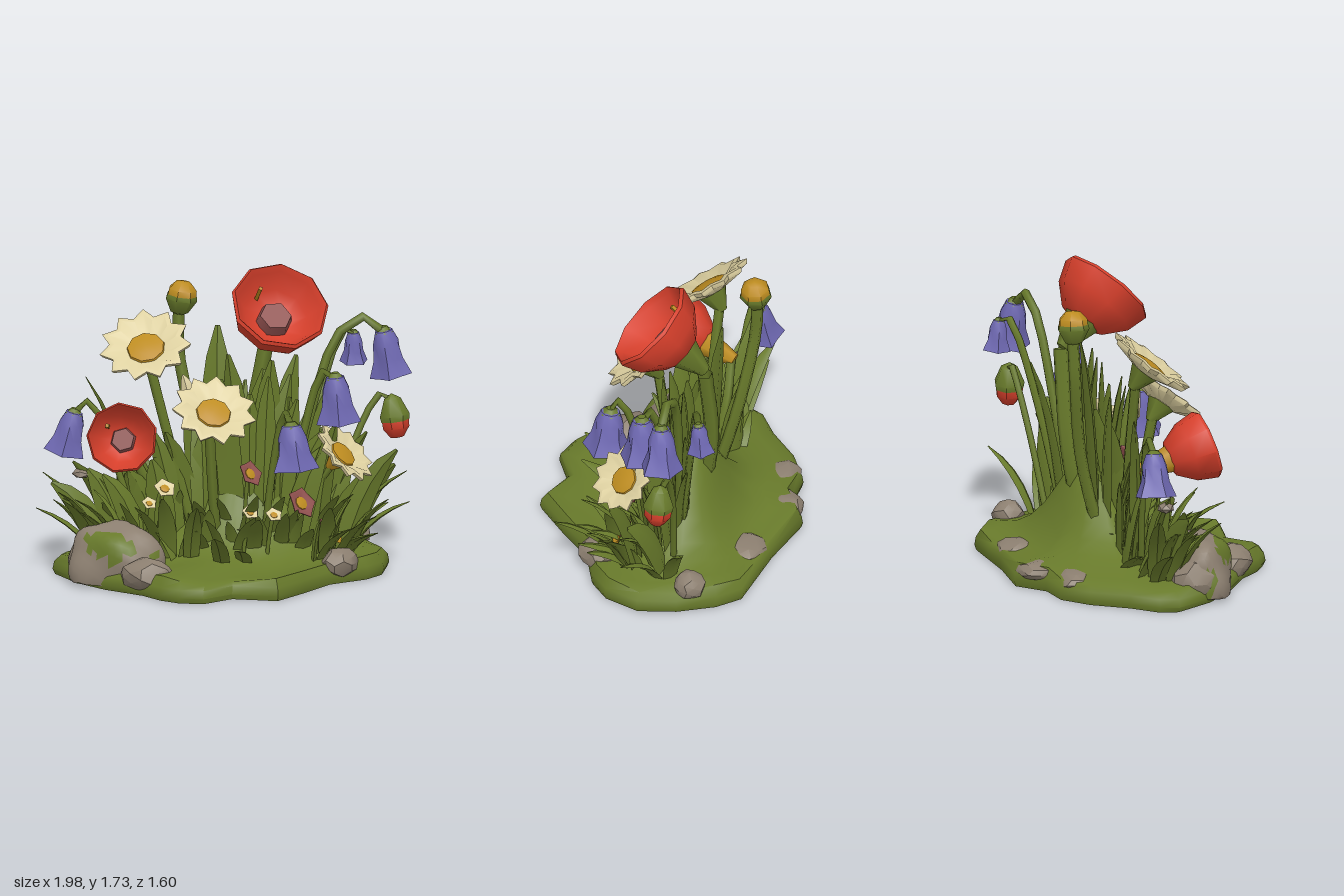
import * as THREE from 'three';
import { toCreasedNormals } from 'three/addons/utils/BufferGeometryUtils.js';

const V = (x, y, z) => new THREE.Vector3(x, y, z);
const UP = V(0, 1, 0);

function mat(name, color) {
  const m = new THREE.MeshStandardMaterial({ color, side: THREE.DoubleSide });
  m.name = name;
  return m;
}

export function createModel() {
  const root = new THREE.Group();
  root.name = 'wildflowerPatch';
  const green = mat('leafGreen', 0x687a2b), red = mat('poppyRed', 0xd63f2b), cream = mat('petalCream', 0xddd0a0);
  const yellow = mat('pollenYellow', 0xbd8c20), blue = mat('bellBlue', 0x6f69b3);
  const grey = mat('stoneGrey', 0x8c7f70), mauve = mat('mauve', 0x8f504e);

  let seed = 7;
  const rnd = () => {
    seed = (seed * 16807) % 2147483647;
    return seed / 2147483647;
  };
  const spread = (a) => (rnd() * 2 - 1) * a;

  function add(parent, name, geo, material) {
    const m = new THREE.Mesh(geo, material);
    m.name = name;
    parent.add(m);
    return m;
  }

  // Skin over closed rings of points, counterclockwise about the path
  function loft(rings, crease) {
    const n = rings[0].length, pos = [], idx = [];
    rings.forEach((r) => r.forEach((p) => pos.push(p.x, p.y, p.z)));
    for (let k = 0; k < rings.length - 1; k++)
      for (let i = 0; i < n; i++) {
        const a = k * n + i, b = k * n + ((i + 1) % n);
        idx.push(a, b, b + n, a, b + n, a + n);
      }
    const g = new THREE.BufferGeometry();
    g.setAttribute('position', new THREE.Float32BufferAttribute(pos, 3));
    g.setIndex(idx);
    return toCreasedNormals(g, crease);
  }

  // Ground with a raised ridge running diagonally under the plants
  const outline = [[0.52, 0.59], [0.61, 0.35], [0.69, 0.1], [0.85, -0.08], [0.9, -0.22], [0.87, -0.43], [0.73, -0.6],
    [0.55, -0.74], [0.4, -0.8], [0.2, -0.74], [0, -0.68], [-0.32, -0.62], [-0.43, -0.45], [-0.6, -0.38], [-0.71, -0.22],
    [-0.79, 0], [-0.88, 0.16], [-0.88, 0.27], [-0.7, 0.46], [-0.5, 0.58], [-0.25, 0.67], [-0.12, 0.76], [0, 0.8],
    [0.14, 0.78], [0.26, 0.61]];
  const groundY = (x, z) => {
    const u = 0.93 * x - 0.37 * z - 0.15, v = 0.37 * x + 0.93 * z + 0.14;
    return 0.115 + 0.5 * Math.exp(-((u / 0.36) ** 2) - (v / 0.2) ** 2) + 0.02 * Math.sin(9 * x + 4 * z);
  };
  const rows = [[0, 0], [0.985, 0], [1, 0.03], [0.99, 0.075], [0.95], [0.84], [0.7], [0.58], [0.46], [0.36], [0.27], [0.18], [0.09], [0]];
  add(root, 'ground', loft(rows.map(([s, y]) => outline.map(([x, z]) => {
    const px = 0.08 + (x - 0.08) * s, pz = -0.14 + (z + 0.14) * s;
    return V(px, y ?? groundY(px, pz), pz);
  })), 0.9), green);

  // Rocks sitting in the ground, faceted, with optional patches of moss
  function rock(x, y, z, sx, sy, sz, detail, mossy) {
    const g = new THREE.IcosahedronGeometry(1, detail), p = g.attributes.position;
    for (let i = 0; i < p.count; i++) {
      const v = V().fromBufferAttribute(p, i);
      if (i % 3 === 0) {
        const patch = Math.sin(4.2 * v.x + 3 * v.y) + Math.sin(5 * v.y - 3 * v.z + 1) + 0.5 * Math.sin(9 * v.x);
        g.addGroup(i, 3, mossy && patch > 0.3 ? 1 : 0);
      }
      v.multiplyScalar(1 + 0.1 * Math.sin(4 * v.x + 3 * v.y + x * 9) * Math.cos(4 * v.z - v.y));
      p.setXYZ(i, v.x * sx, Math.max(v.y * sy, 0.02 - y), v.z * sz);
    }
    add(root, 'rock', toCreasedNormals(g, 0.5), [grey, green]).position.set(x, y, z);
  }
  rock(-0.47, 0.1, 0.4, 0.28, 0.25, 0.19, 6, true);
  rock(-0.24, 0.1, 0.59, 0.15, 0.1, 0.12, 1, false);
  rock(-0.66, 0.12, 0.36, 0.1, 0.13, 0.13, 1, false);
  rock(0.71, 0.11, 0, 0.1, 0.08, 0.12, 1, false);
  rock(-0.31, 0.09, -0.48, 0.12, 0.055, 0.13, 1, false);
  rock(-0.5, 0.09, -0.29, 0.14, 0.055, 0.1, 1, false);
  rock(0.12, 0.09, -0.57, 0.13, 0.055, 0.13, 1, false);
  rock(0.62, 0.14, -0.6, 0.09, 0.08, 0.09, 1, false);
  rock(-0.73, 0.57, 0.2, 0.06, 0.03, 0.05, 0, false);

  // Leaves: broad ridged blades bending from base to tip
  const leaves = new THREE.Group();
  leaves.name = 'leaves';
  root.add(leaves);
  function leaf(a, b, w, turn = 0, material = green) {
    const mid = V(a.x + (b.x - a.x) * 0.3, a.y + (b.y - a.y) * 0.7, a.z + (b.z - a.z) * 0.3);
    const c = new THREE.QuadraticBezierCurve3(a, mid, b);
    const rings = [0.75, 0.95, 1, 0.9, 0.62, 0.14].map((s, k) => {
      const t = k / 5, p = c.getPoint(t), T = c.getTangent(t);
      const S = V(Math.cos(turn), 0, Math.sin(turn));
      S.addScaledVector(T, -S.dot(T)).normalize();
      const N = V().crossVectors(T, S);
      return [[w, 0], [0, w * 0.25], [-w, 0], [0, -w * 0.35]].map(([d, e]) =>
        p.clone().addScaledVector(S, d * s).addScaledVector(N, e * s));
    });
    add(leaves, 'leaf', loft(rings, 0.6), material);
  }
  const ridgeZ = (x) => -0.1 - 0.35 * x;
  // Tall broad leaves along the ridge
  for (let i = 0; i < 38; i++) {
    const x = -0.56 + (i / 37) * 1.2 + spread(0.03), z = ridgeZ(x) + spread(0.1);
    const h = 0.58 + 0.46 * Math.exp(-(((x - 0.15) / 0.34) ** 2)) + spread(0.12);
    leaf(V(x, 0.1, z), V(x * 1.4 + spread(0.08), h, z - 0.12 * x + spread(0.12)), 0.06 + rnd() * 0.03, -0.3 + spread(0.6));
  }
  // Short leaves fanning outward
  for (let i = 0; i < 64; i++) {
    const x = -0.65 + (i / 63) * 1.35, z = ridgeZ(x) + 0.1 + spread(0.17);
    const dx = x * 0.3 + spread(0.14), dz = 0.12 + spread(0.16);
    leaf(V(x, 0.08, z), V(Math.min(0.95, x + dx), 0.26 + rnd() * 0.26, z + dz), 0.036 + rnd() * 0.018, Math.atan2(dx, -dz));
  }
  // Outermost and largest leaves: base x, z, tip x, y, z, half width, turn
  [[-0.65, 0.15, -0.99, 0.36, 0.22, 0.05, 1.4], [-0.6, 0.15, -0.97, 0.55, 0.15, 0.05, 1.4], [-0.6, 0.2, -0.85, 0.45, 0.25, 0.05, 1],
    [-0.42, 0.05, -0.76, 1.08, 0.02, 0.045, 0.8], [0.65, -0.4, 0.99, 0.38, -0.42, 0.05, 1.4], [0.6, -0.35, 0.98, 0.56, -0.4, 0.05, 1.4],
    [0.65, -0.25, 0.93, 0.42, -0.2, 0.05, 1], [0.62, -0.45, 0.8, 0.48, -0.7, 0.05, 0.4], [0.1, 0.25, 0.15, 0.33, 0.58, 0.05, 0],
    [-0.1, 0.2, 0, 0.46, 0.42, 0.05, 0], [0.2, 0.15, 0.27, 0.25, 0.5, 0.05, 0.3], [-0.05, -0.15, -0.07, 1.36, -0.24, 0.1, -0.2],
    [0.1, -0.2, 0.02, 1.22, -0.14, 0.09, 0.2], [0.2, -0.2, 0.27, 1.2, -0.15, 0.09, -0.3], [0.25, -0.25, 0.36, 1.2, -0.33, 0.08, -0.4],
    [0.3, -0.3, 0.52, 1.05, -0.48, 0.07, -0.4], [-0.1, -0.1, -0.2, 1.05, -0.08, 0.08, -0.3],
  ].forEach(([x, z, tx, ty, tz, w, turn]) => leaf(V(x, 0.08, z), V(tx, ty, tz), w, turn));
  leaf(V(-0.13, 0.92, 0.08), V(-0.18, 1.14, 0.08), 0.04, 0, cream);

  function stem(points, r) {
    const c = new THREE.CatmullRomCurve3(points.map((p) => V(...p)));
    add(root, 'stem', new THREE.TubeGeometry(c, 10, r, 5), green);
  }

  // Turned flower part; every second rib is pulled in by dip to form petals
  function turned(profile, r, h, segs, dip = 1) {
    const g = new THREE.LatheGeometry(profile.map(([x, y]) => new THREE.Vector2(x * r, y * h)), segs);
    const p = g.attributes.position, n = profile.length;
    for (let i = 0; i < p.count; i++)
      if (Math.floor(i / n) % 2 && profile[i % n][0] > 0.7) p.setXYZ(i, p.getX(i) * dip, p.getY(i), p.getZ(i) * dip);
    return toCreasedNormals(g, 0.85);
  }
  function flowerGroup(name, at, dir) {
    const g = new THREE.Group();
    g.name = name;
    g.position.set(...at);
    g.quaternion.setFromUnitVectors(UP, V(...dir).normalize());
    root.add(g);
    return g;
  }
  const CUP = [[0, 0], [0.5, 0.08], [0.86, 0.5], [1, 0.96], [0.95, 1.03], [0.86, 0.9], [0.65, 0.5], [0.3, 0.3], [0, 0.28]];
  const STAR = [[0, -0.4], [0.4, -0.35], [0.95, 0.3], [1, 0.7], [0.85, 0.8], [0.4, 0.15], [0, 0.15]];
  const BELL = [[0, 0], [0.42, 0.04], [0.64, 0.3], [0.76, 0.65], [1.1, 1], [0.85, 0.95], [0.45, 0.6], [0, 0.5]];
  const POD = [[0, 0], [0.6, 0.12], [1, 0.45], [0.95, 0.75], [0.5, 0.97], [0, 1]];

  // Poppies
  function poppy(at, dir, r, h, sepals) {
    const g = flowerGroup('poppy', at, dir);
    add(g, 'poppyPetals', turned(CUP, r, h, 9), red);
    const heart = add(g, 'poppyHeart', new THREE.CylinderGeometry(r * 0.32, r * 0.38, h * 0.3, 6), mauve);
    heart.position.y = h * 0.42;
    const stamen = add(g, 'stamen', new THREE.BoxGeometry(0.02, r * 0.4, 0.02), yellow);
    stamen.position.set(-r * 0.5, h * 0.66, -r * 0.25);
    add(g, 'sepals', new THREE.CylinderGeometry(r * 0.4, 0.035, 0.2, 6), sepals).position.y = -0.075;
  }
  poppy([0.24, 1.36, -0.22], [0.4, 0.68, 0.6], 0.28, 0.26, green);
  stem([[0.08, 0.15, -0.2], [0.09, 0.7, -0.3], [0.18, 1.23, -0.33]], 0.045);
  poppy([-0.48, 0.77, 0.22], [0.22, 0.3, 0.92], 0.2, 0.25, yellow);
  stem([[-0.25, 0.1, 0.05], [-0.4, 0.5, 0.02], [-0.51, 0.72, 0.08]], 0.028);

  // Daisies and tiny star flowers
  function daisy(at, dir, r, petals = cream, count = 11, sepals = green) {
    const g = flowerGroup('daisy', at, dir);
    add(g, 'daisyPetals', turned(STAR, r, r * 0.25, count * 2, 0.78), petals);
    add(g, 'daisyEye', turned([[0.42, 0.1], [0.4, 0.35], [0.22, 0.5], [0, 0.55]], r, r * 0.25, 9), yellow);
    add(g, 'sepals', new THREE.CylinderGeometry(r * 0.35, r * 0.1, r * 0.5, 6), sepals).position.y = -r * 0.33;
  }
  daisy([-0.38, 1.28, 0.12], [0.04, 0.8, 0.6], 0.26);
  stem([[-0.1, 0.1, 0], [-0.26, 0.7, 0.02], [-0.38, 1.19, 0.05]], 0.03);
  daisy([0.04, 0.96, 0.23], [0.32, 0.75, 0.55], 0.24);
  stem([[0, 0.1, 0], [0, 0.5, 0.1], [0, 0.87, 0.17]], 0.03);
  daisy([0.67, 0.68, -0.17], [0.7, 0.68, 0.14], 0.2, cream, 11, yellow);
  stem([[0.45, 0.1, -0.2], [0.5, 0.45, -0.2], [0.61, 0.62, -0.18]], 0.022);
  [[0.2, 0.59, 0.05, 0.08, mauve], [0.47, 0.42, -0.04, 0.095, mauve], [0.6, 0.28, -0.11, 0.065, mauve],
    [-0.25, 0.51, 0.2, 0.065, cream], [-0.34, 0.42, 0.2, 0.045, cream], [0.24, 0.4, 0.18, 0.05, cream],
    [0.36, 0.38, 0.12, 0.05, cream], [0.66, 0.22, -0.1, 0.035, yellow],
  ].forEach(([x, y, z, r, m]) => {
    daisy([x, y, z], [m === cream ? 0.3 : 0.75, 0.55, 0.4], r, m, 5);
    stem([[x - 0.06, 0.08, z - 0.05], [x - 0.04, y * 0.6, z - 0.04], [x - r * 0.2, y - r * 0.2, z - r * 0.2]], 0.012);
  });

  // Bluebells hanging from arched stems
  function bell(at, dir, r, h) {
    const g = flowerGroup('bluebell', at, dir);
    add(g, 'bellPetals', turned(BELL, r, h, 10, 0.78), blue);
    add(g, 'bellCap', new THREE.CylinderGeometry(r * 0.48, r * 0.2, h * 0.13, 6), green).position.y = h * 0.02;
  }
  bell([-0.79, 0.91, 0.13], [-0.25, -1, 0.02], 0.11, 0.25);
  stem([[-0.4, 0.1, 0.08], [-0.58, 0.65, 0.08], [-0.7, 0.95, 0.1], [-0.76, 0.96, 0.12], [-0.79, 0.9, 0.13]], 0.02);
  bell([0.8, 1.33, -0.55], [0.15, -1, -0.13], 0.115, 0.27);
  stem([[0.3, 0.15, -0.25], [0.42, 0.8, -0.35], [0.58, 1.32, -0.45], [0.72, 1.4, -0.51], [0.8, 1.31, -0.55]], 0.027);
  bell([0.6, 1.28, -0.65], [-0.02, -1, -0.1], 0.075, 0.18);
  stem([[0.35, 0.15, -0.3], [0.44, 0.85, -0.45], [0.54, 1.27, -0.58], [0.6, 1.33, -0.64], [0.6, 1.27, -0.65]], 0.022);
  bell([0.61, 1.12, -0.24], [0.06, -1, -0.06], 0.12, 0.27);
  stem([[0.3, 0.15, -0.2], [0.42, 0.75, -0.25], [0.52, 1.1, -0.25], [0.58, 1.16, -0.24], [0.61, 1.1, -0.24]], 0.024);
  bell([0.46, 0.91, 0.12], [0.1, -1, 0.04], 0.125, 0.26);
  stem([[0.25, 0.15, -0.05], [0.33, 0.65, 0.02], [0.4, 0.93, 0.08], [0.44, 0.97, 0.11], [0.46, 0.9, 0.12]], 0.022);

  // Buds: coloured pod held in a green cup
  function bud(at, dir, r, h, color) {
    const g = flowerGroup('bud', at, dir);
    add(g, 'budPetals', turned(POD, r, h, 7), color);
    add(g, 'budCup', turned([[0, -0.06], [0.6, 0.06], [1.08, 0.45], [1.02, 0.58]], r, h, 7), green);
  }
  bud([-0.31, 1.4, -0.29], [0.15, 1, -0.02], 0.085, 0.19, yellow);
  stem([[-0.12, 0.1, -0.1], [-0.2, 0.7, -0.24], [-0.31, 1.2, -0.28], [-0.31, 1.41, -0.29]], 0.035);
  bud([0.84, 0.94, -0.58], [0.14, -1, 0], 0.08, 0.24, red);
  stem([[0.5, 0.1, -0.38], [0.62, 0.6, -0.48], [0.75, 0.92, -0.56], [0.81, 0.97, -0.58], [0.84, 0.92, -0.58]], 0.02);

  return root;
}
